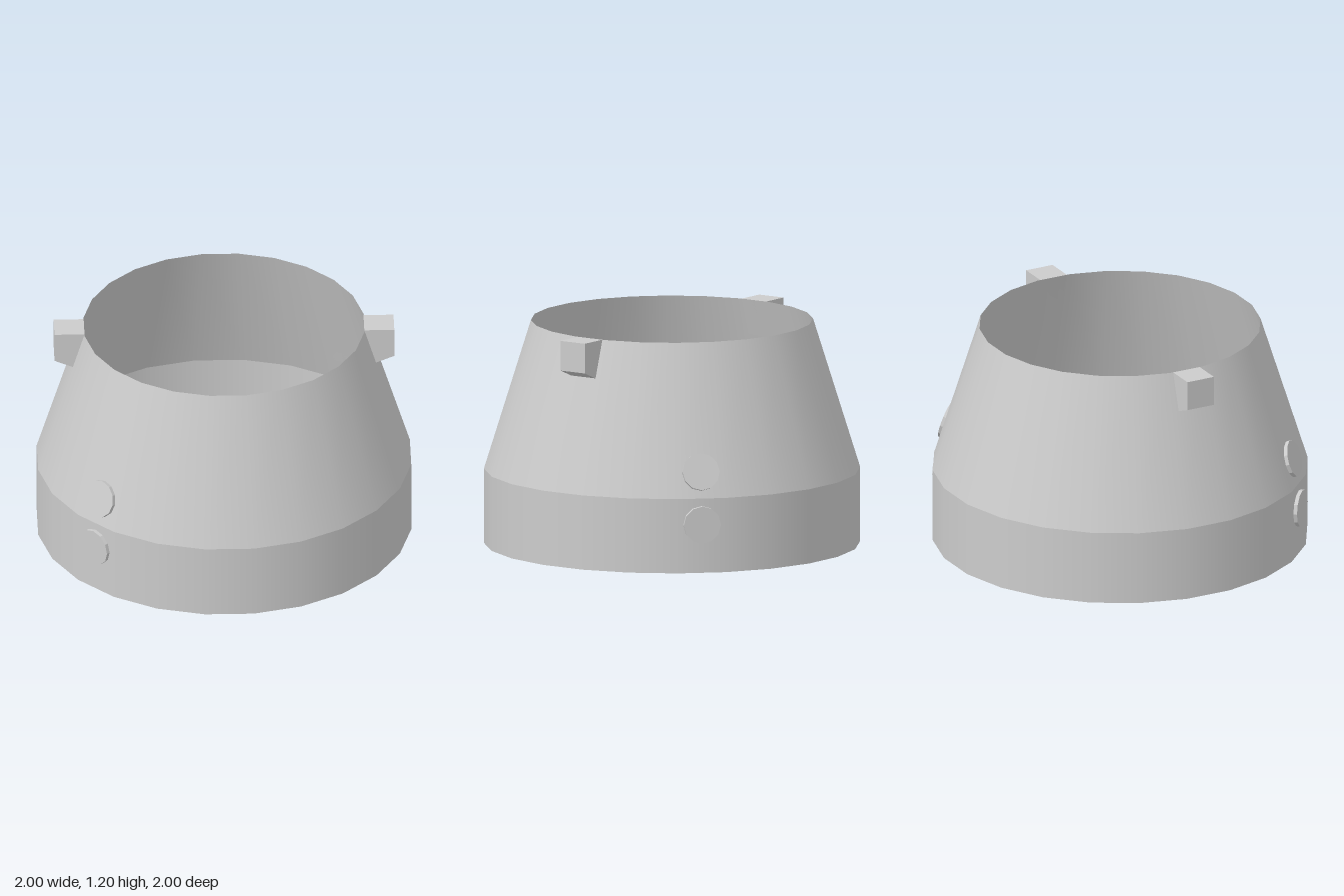
import * as THREE from 'three';

const SIDES = 24;
const APOTHEM = Math.cos(Math.PI / SIDES); // facet centre distance / corner distance
const BASE_Y = 0.4, TOP_Y = 1.2, BASE_R = 1, TOP_R = 0.75;

// distance from the axis to the middle of a facet at height y
function facetRadius(y) {
  const t = Math.max(0, (y - BASE_Y) / (TOP_Y - BASE_Y));
  return APOTHEM * (BASE_R + (TOP_R - BASE_R) * t);
}

export function createModel() {
  const model = new THREE.Group();
  model.name = 'taperedCollar';
  const shellMat = new THREE.MeshStandardMaterial({ color: 0xcccccc, side: THREE.DoubleSide });
  const partMat = new THREE.MeshStandardMaterial({ color: 0xcccccc, flatShading: true });

  function add(parent, name, geometry, material) {
    const mesh = new THREE.Mesh(geometry, material);
    mesh.name = name;
    parent.add(mesh);
    return mesh;
  }

  // open, thin shell: straight band below, taper above
  function ring(name, rTop, rBottom, y0, y1) {
    const g = new THREE.CylinderGeometry(rTop, rBottom, y1 - y0, SIDES, 1, true);
    add(model, name, g.translate(0, (y0 + y1) / 2, 0), shellMat);
  }
  ring('baseBand', BASE_R, BASE_R, 0, BASE_Y);
  ring('taperedWall', TOP_R, BASE_R, BASE_Y, TOP_Y);

  // rim lug: side profile (outward, up) extruded across its width
  const profile = new THREE.Shape([
    new THREE.Vector2(facetRadius(1.0), 1.0),
    new THREE.Vector2(0.903, 1.04),
    new THREE.Vector2(0.903, TOP_Y),
    new THREE.Vector2(facetRadius(TOP_Y), TOP_Y),
  ]);
  const lugGeo = new THREE.ExtrudeGeometry(profile, { depth: 0.16, bevelEnabled: false });
  lugGeo.translate(0, 0, -0.08);

  // round button, its back resting on the wall
  const buttonGeo = new THREE.CylinderGeometry(0.1, 0.1, 0.02, 12).translate(0, 0.01, 0);
  const slope = Math.atan((BASE_R - TOP_R) * APOTHEM / (TOP_Y - BASE_Y));

  // the same fittings on two opposite sides
  for (const [side, turn] of [['left', 0], ['right', Math.PI]]) {
    const lug = add(model, side + 'RimLug', lugGeo, partMat);
    lug.rotation.y = turn + THREE.MathUtils.degToRad(7.5);

    const buttons = new THREE.Group();
    buttons.name = side + 'Buttons';
    buttons.rotation.y = turn + THREE.MathUtils.degToRad(52.5);
    model.add(buttons);
    for (const [name, y, tilt] of [['lowerButton', 0.26, 0], ['upperButton', 0.535, slope]]) {
      const button = add(buttons, name, buttonGeo, partMat);
      button.position.set(facetRadius(y), y, 0);
      button.rotation.z = tilt - Math.PI / 2;
    }
  }
  return model;
}
